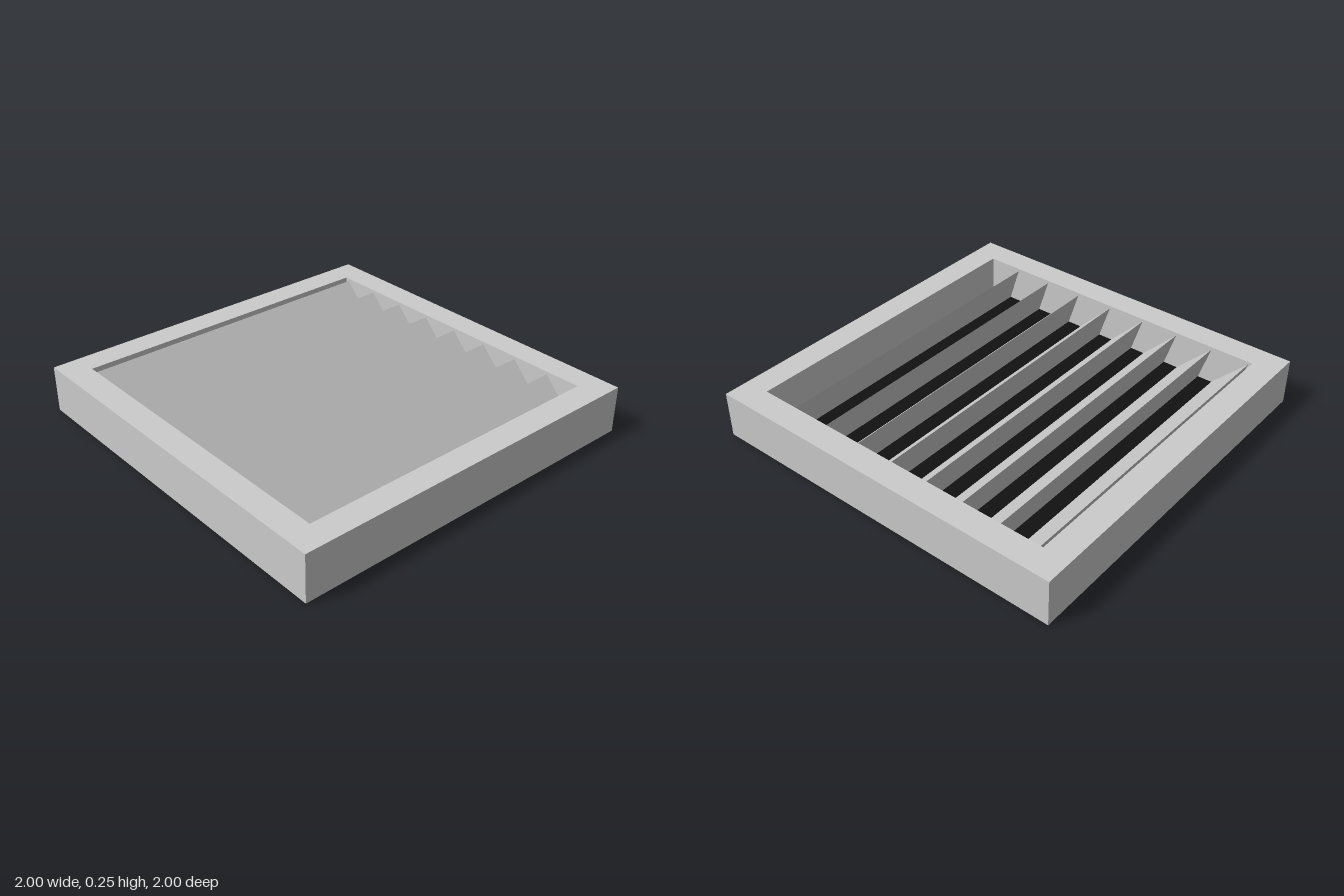
import * as THREE from 'three';

const grey = new THREE.MeshStandardMaterial({ color: 0xcccccc, flatShading: true });
const black = new THREE.MeshStandardMaterial({ color: 0x111111, flatShading: true });

const OUTER = 1, INNER = 0.86, HEIGHT = 0.25, FLOOR = 0.04;
const SLATS = 8, PITCH = (2 * INNER) / SLATS, GAP = 0.022;

function square(Type, h) {
  const p = new Type();
  p.moveTo(-h, -h).lineTo(h, -h).lineTo(h, h).lineTo(-h, h).closePath();
  return p;
}

function addMesh(parent, name, geometry, material) {
  const mesh = new THREE.Mesh(geometry, material);
  mesh.name = name;
  parent.add(mesh);
  return mesh;
}

export function createModel() {
  const model = new THREE.Group();
  model.name = 'louvreVent';

  // Square frame with an open middle
  const frameShape = square(THREE.Shape, OUTER);
  frameShape.holes.push(square(THREE.Path, INNER));
  const frame = new THREE.ExtrudeGeometry(frameShape, { depth: HEIGHT, bevelEnabled: false });
  frame.rotateX(-Math.PI / 2);
  addMesh(model, 'frame', frame, grey);

  // Closed back and the dark floor behind the slats
  const back = new THREE.BoxGeometry(2 * INNER, FLOOR / 2, 2 * INNER);
  addMesh(model, 'backPlate', back, grey).position.y = FLOOR / 4;
  const floor = new THREE.PlaneGeometry(2 * INNER, 2 * INNER).rotateX(-Math.PI / 2);
  addMesh(model, 'darkFloor', floor, black).position.y = FLOOR;

  // Wedge slats: long slope towards +x, steep undercut towards -x
  const profile = new THREE.Shape();
  profile.moveTo(GAP, 0.235);
  profile.lineTo(GAP + 0.06, FLOOR);
  profile.lineTo(PITCH, FLOOR);
  profile.closePath();
  const slat = new THREE.ExtrudeGeometry(profile, { depth: 2 * INNER, bevelEnabled: false });
  slat.translate(0, 0, -INNER);

  const slats = new THREE.Group();
  slats.name = 'slats';
  for (let i = 0; i < SLATS; i++) {
    addMesh(slats, `slat${i + 1}`, slat, grey).position.x = -INNER + i * PITCH;
  }
  model.add(slats);
  return model;
}
